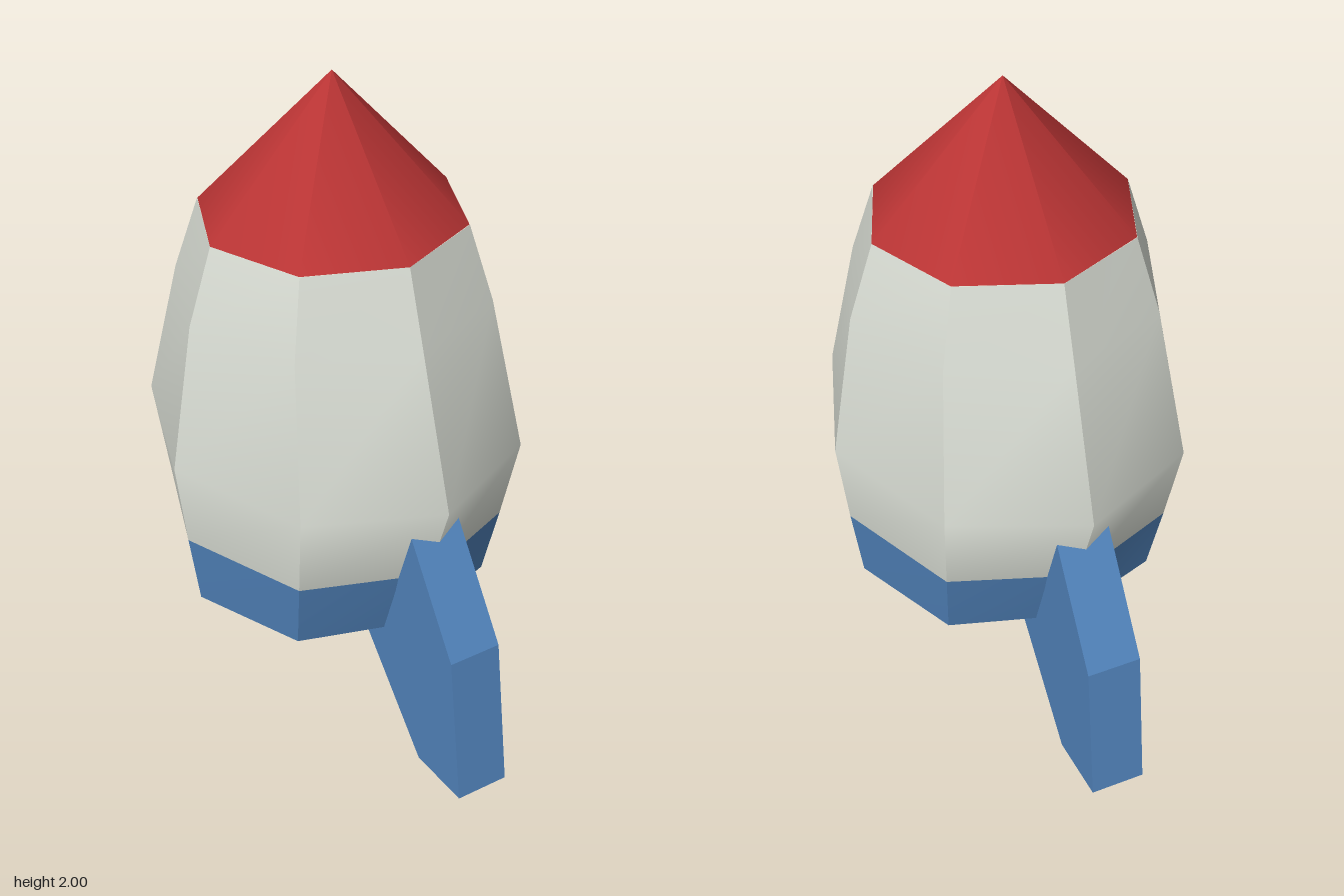
import * as THREE from 'three';

const mat = (name, color, side = THREE.FrontSide) => {
  const m = new THREE.MeshStandardMaterial({ color, side });
  m.name = name;
  return m;
};

// Hull rings: height, side x, front/back z, diagonal x, diagonal z
const RINGS = [
  [0.37, 0.475, 0.45, 0.337, 0.34],
  [0.6, 0.51, 0.525, 0.36, 0.388],
  [0.87, 0.545, 0.615, 0.385, 0.44],
  [1.33, 0.475, 0.47, 0.335, 0.336],
  [1.565, 0.4, 0.395, 0.283, 0.281],
];

function ringPoint([y, x, z, dx, dz], i) {
  const a = (i * Math.PI) / 4;
  const sx = Math.sign(Math.round(Math.sin(a) * 10));
  const sz = Math.sign(Math.round(Math.cos(a) * 10));
  return i % 2 ? [sx * dx, y, sz * dz] : [sx * x, y, sz * z];
}

// Eight vertical panels, smooth along their height and creased between each other
function hullGeometry() {
  const pos = [], band = [], upper = [], base = [];
  for (let i = 0; i < 8; i++) {
    const start = pos.length / 3;
    for (const ring of RINGS) pos.push(...ringPoint(ring, i), ...ringPoint(ring, i + 1));
    for (let r = 0; r < RINGS.length - 1; r++) {
      const a = start + r * 2;
      (r === 0 ? band : upper).push(a, a + 1, a + 3, a, a + 3, a + 2);
    }
    // slice of the flat underside
    const b = pos.length / 3;
    pos.push(...ringPoint(RINGS[0], i + 1), ...ringPoint(RINGS[0], i), 0, RINGS[0][0], 0);
    base.push(b, b + 1, b + 2);
  }
  const g = new THREE.BufferGeometry();
  g.setAttribute('position', new THREE.Float32BufferAttribute(pos, 3));
  g.setIndex([...upper, ...band, ...base]);
  g.addGroup(0, upper.length, 0);
  g.addGroup(upper.length, band.length + base.length, 1);
  g.computeVertexNormals();
  return g;
}

// Fin slab from a side profile of (distance from axis, height)
function finGeometry(points) {
  const shape = new THREE.Shape(points.map(([z, y]) => new THREE.Vector2(z, y)));
  const g = new THREE.ExtrudeGeometry(shape, { depth: 0.168, bevelEnabled: false });
  return g.translate(0, 0, -0.084).rotateY(-Math.PI / 2);
}

export function createModel() {
  const white = mat('hull white', 0xd9ddd4);
  const blue = mat('fin blue', 0x5183bb);
  const red = mat('nose red', 0xb93434);
  const model = new THREE.Group();
  model.name = 'rocket';

  const add = (name, geometry, material) => {
    const mesh = new THREE.Mesh(geometry, material);
    mesh.name = name;
    model.add(mesh);
    return mesh;
  };

  add('hull', hullGeometry(), [white, blue]);

  // Eight-sided nose with smooth shading
  const nose = add('noseCone', new THREE.ConeGeometry(0.4, 0.435, 8, 1), red);
  nose.position.y = 1.7825;
  nose.scale.z = 0.9875;

  // Landing fins, their inner ends buried in the hull
  add('frontFin', finGeometry([
    [0.62, 0], [0.83, 0], [0.765, 0.465], [0.52, 0.83], [0.25, 0.4],
  ]), blue);
  add('backFin', finGeometry([
    [0.615, 0], [0.825, 0], [0.77, 0.445], [0.51, 0.84], [0.245, 0.4],
  ]), blue).rotation.y = Math.PI;

  return model;
}
